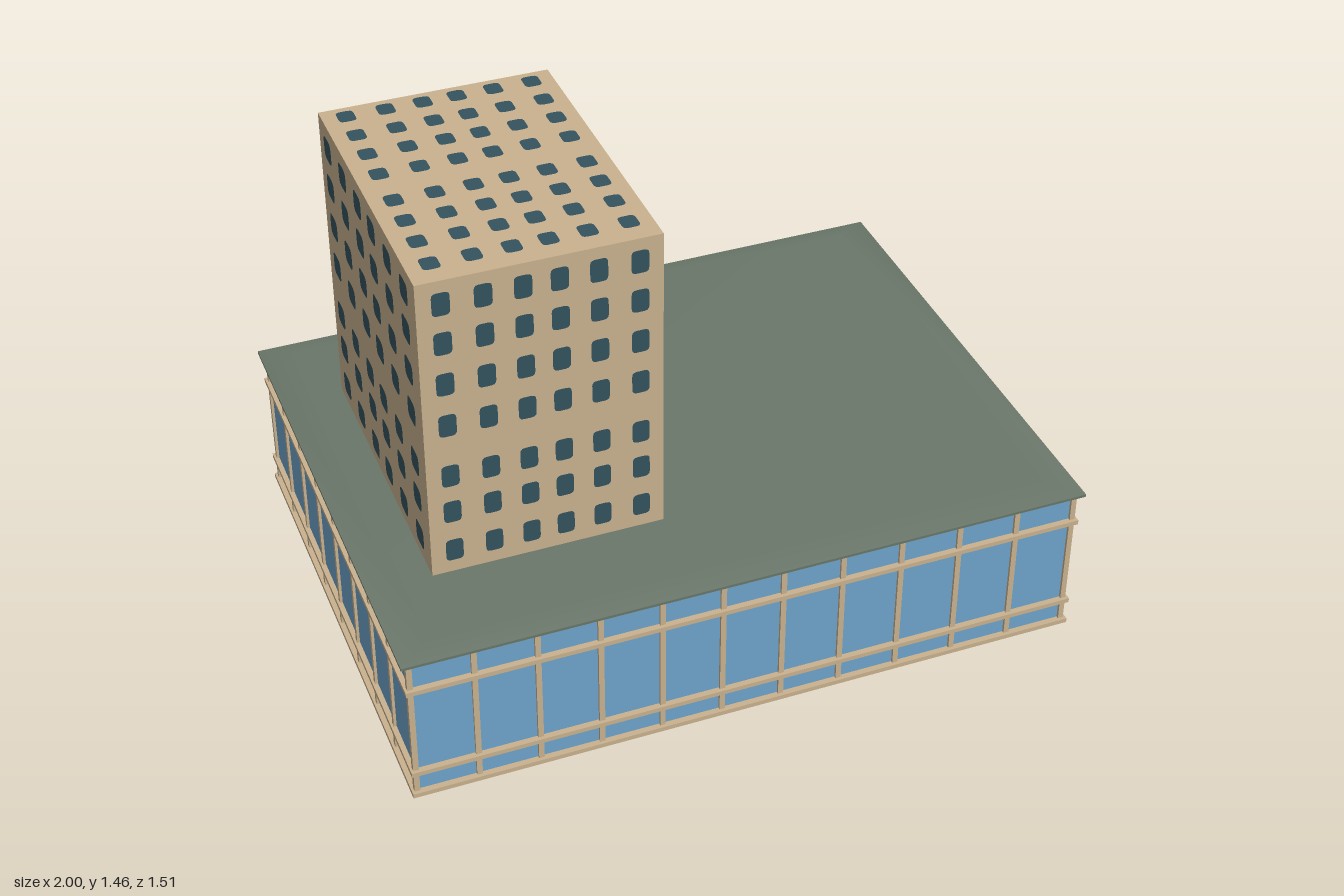
import * as THREE from 'three';
import { mergeGeometries } from 'three/addons/utils/BufferGeometryUtils.js';

const mat = (name, color) => {
  const m = new THREE.MeshStandardMaterial({ color });
  m.name = name;
  return m;
};

const box = (w, h, d, x, y, z) => new THREE.BoxGeometry(w, h, d).translate(x, y, z);

// Pane with softly cut corners, facing +z
function paneGeometry(w, h) {
  const x = w / 2, y = h / 2, c = Math.min(w, h) * 0.28;
  const s = new THREE.Shape();
  s.moveTo(-x + c, -y);
  s.lineTo(x - c, -y);
  s.quadraticCurveTo(x, -y, x, -y + c);
  s.lineTo(x, y - c);
  s.quadraticCurveTo(x, y, x - c, y);
  s.lineTo(-x + c, y);
  s.quadraticCurveTo(-x, y, -x, y - c);
  s.lineTo(-x, -y + c);
  s.quadraticCurveTo(-x, -y, -x + c, -y);
  return new THREE.ShapeGeometry(s, 3);
}

export function createModel() {
  const model = new THREE.Group();
  const stone = mat('sandstone', 0xc9b28f);
  const glass = mat('blue glass', 0x6fa3cb);
  const roofing = mat('grey green roofing', 0x6a776a);
  const pane = mat('dark window', 0x34535f);
  const add = (name, geometry, material) => {
    const mesh = new THREE.Mesh(geometry, material);
    mesh.name = name;
    model.add(mesh);
  };

  // Glazed podium
  const GX = 0.975, GZ = 0.729, GH = 0.488;
  add('podiumGlass', box(GX * 2, GH, GZ * 2, 0, GH / 2, 0), glass);

  // Mullions and rails around the podium
  const bars = [];
  const mh = 0.454, my = 0.243, t = 0.016;
  for (const s of [-1, 1]) {
    for (let i = 0; i < 12; i++) {
      bars.push(box(t, mh, t, -GX + (i * 2 * GX) / 11, my, s * GZ));
    }
    for (let i = 1; i < 8; i++) {
      bars.push(box(t, mh, t, s * GX, my, -GZ + (i * 2 * GZ) / 8));
    }
    for (const y of [0.023, 0.1, 0.391]) {
      bars.push(box(1.98, 0.014, 0.02, 0, y, s * (GZ + 0.008)));
      bars.push(box(0.02, 0.014, 1.494, s * (GX + 0.005), y, 0));
    }
  }
  add('podiumFrame', mergeGeometries(bars), stone);

  // Overhanging roof: thin slab with a shallow sloped top
  add('roofSlab', box(2, 0.008, 1.51, 0, 0.491, 0), roofing);
  const corners = [[-1, 1], [1, 1], [1, -1], [-1, -1]];
  const rings = [[1, 0.755, 0.495], [0.9, 0.68, 0.515]];
  const pos = [], idx = [];
  for (const [rx, rz, y] of rings) {
    for (const [sx, sz] of corners) pos.push(sx * rx, y, sz * rz);
  }
  for (let i = 0; i < 4; i++) {
    const j = (i + 1) % 4;
    idx.push(i, j, j + 4, i, j + 4, i + 4);
  }
  idx.push(4, 5, 6, 4, 6, 7);
  const cap = new THREE.BufferGeometry();
  cap.setAttribute('position', new THREE.Float32BufferAttribute(pos, 3));
  cap.setIndex(idx);
  cap.computeVertexNormals();
  add('roofTop', cap, roofing);

  // Tower block
  const TX = -0.4875, W = 0.665, D = 0.904, Y0 = 0.5, TOP = 1.455;
  add('tower', box(W, TOP - Y0, D, TX, (TOP + Y0) / 2, 0), stone);

  // Window grids on the four walls and the tower top
  const cols = [-0.267, -0.155, -0.049, 0.049, 0.155, 0.267];
  const sideCols = [-0.36, -0.212, -0.066, 0.066, 0.212, 0.36];
  const rows = [0.59, 0.72, 0.84, 1.005, 1.137, 1.265, 1.386];
  const topRows = [-0.4, -0.295, -0.19, -0.082, 0.056, 0.16, 0.265, 0.372];
  const gap = 0.003;
  const panes = [];
  for (const y of rows) {
    for (const s of [0, 1]) {
      const sign = s ? -1 : 1;
      for (const x of cols) {
        panes.push(paneGeometry(0.049, 0.07).rotateY(s * Math.PI)
          .translate(TX + x, y, sign * (D / 2 + gap)));
      }
      for (const z of sideCols) {
        panes.push(paneGeometry(0.07, 0.07).rotateY(sign * Math.PI / 2)
          .translate(TX + sign * (W / 2 + gap), y, z));
      }
    }
  }
  for (const z of topRows) {
    for (const x of cols) {
      panes.push(paneGeometry(0.049, 0.056).rotateX(-Math.PI / 2)
        .translate(TX + x, TOP + gap, z));
    }
  }
  add('towerWindows', mergeGeometries(panes), pane);

  return model;
}
